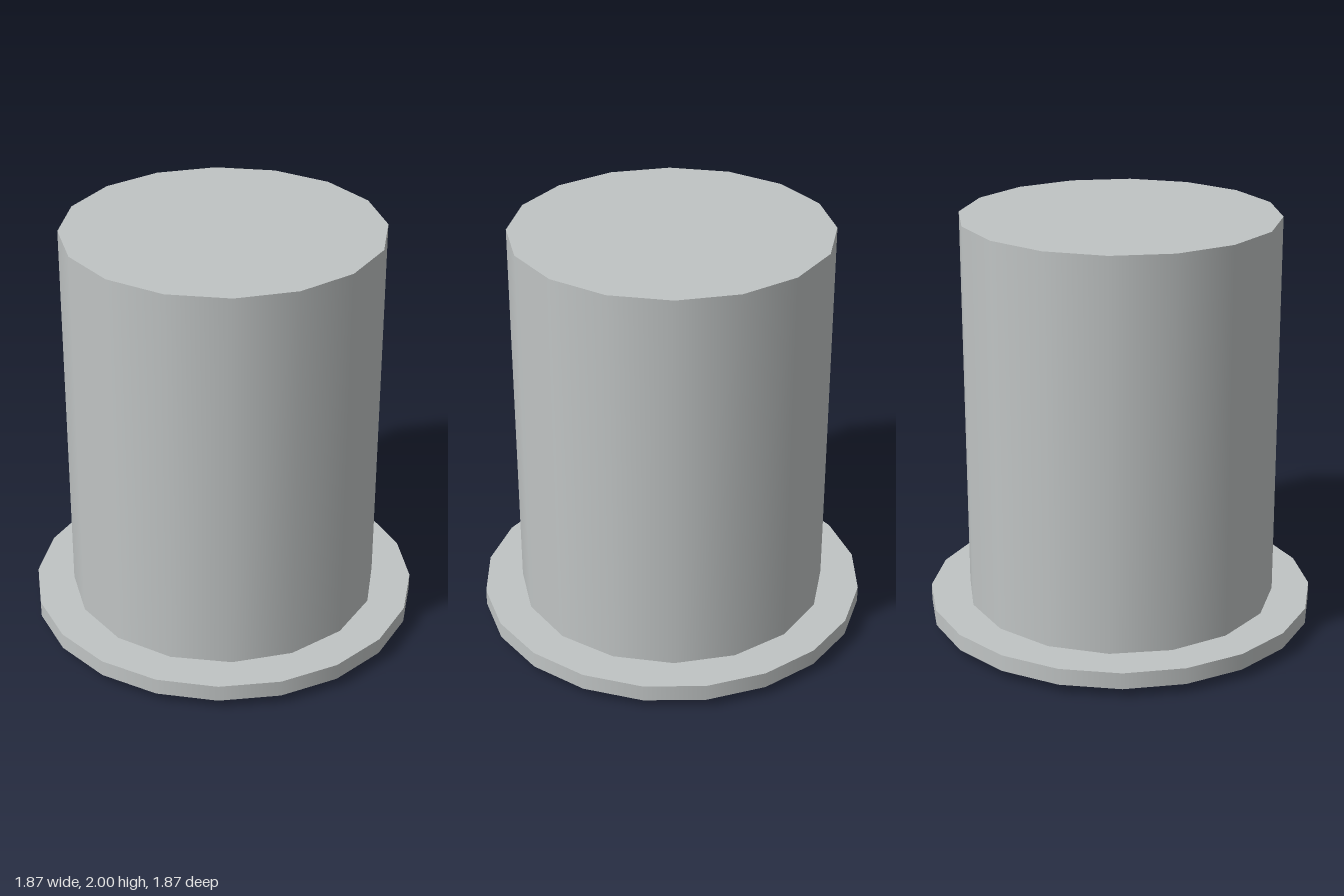
import * as THREE from 'three';

export function createModel() {
  const group = new THREE.Group();
  const metal = new THREE.MeshStandardMaterial({ color: 0xc0c4c4 });
  metal.name = 'light grey metal';

  // Capped cylinder standing between two heights
  function addDisc(name, radius, bottom, top, sides) {
    const geometry = new THREE.CylinderGeometry(radius, radius, top - bottom, sides);
    const mesh = new THREE.Mesh(geometry, metal);
    mesh.name = name;
    mesh.position.y = (bottom + top) / 2;
    group.add(mesh);
  }

  addDisc('foot', 0.73, 0, 0.045, 20);
  addDisc('flange', 0.935, 0.045, 0.125, 20);
  addDisc('body', 0.75, 0.125, 2, 16);

  return group;
}
